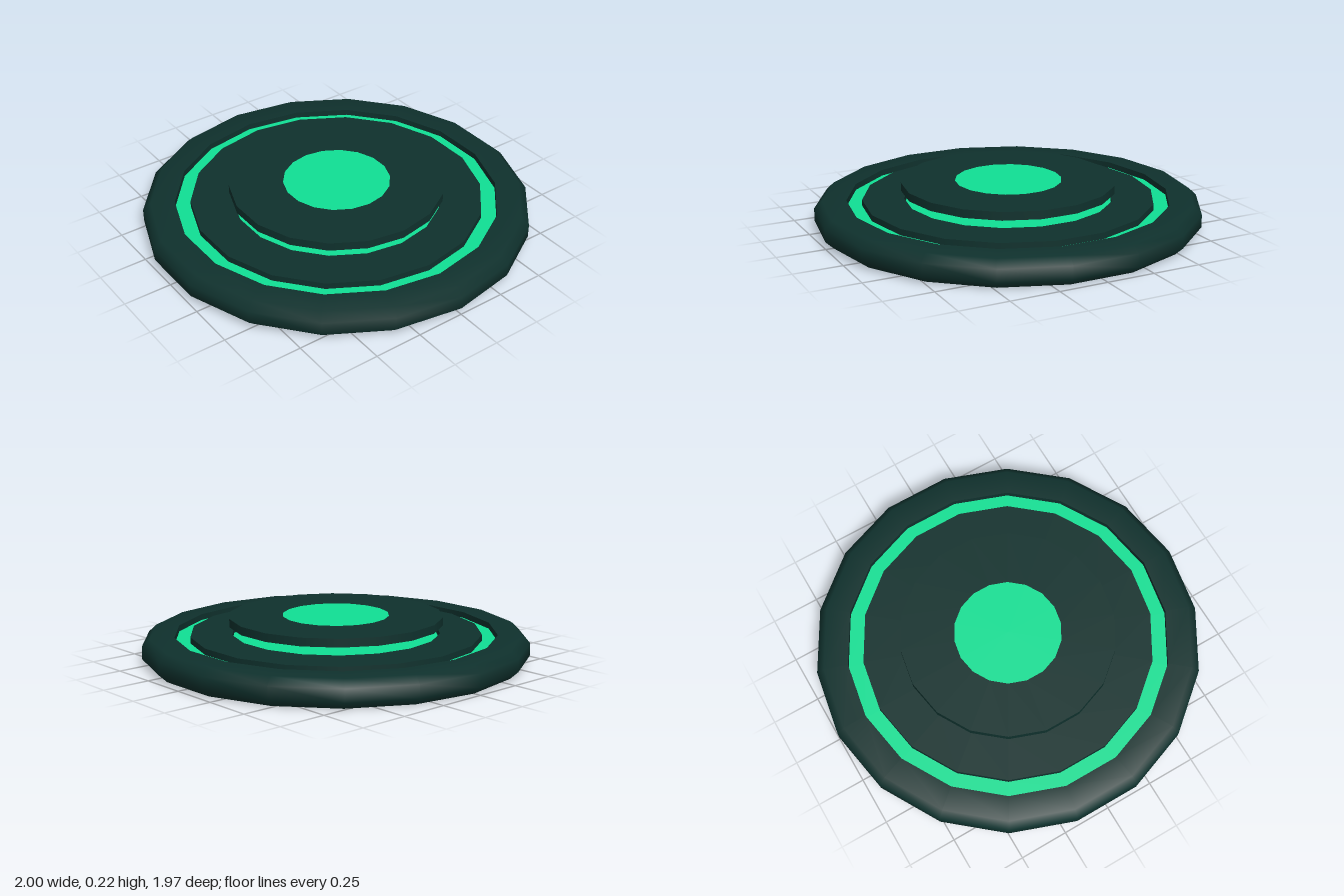
import * as THREE from 'three';

const SIDES = 18;
const dark = new THREE.MeshStandardMaterial({ color: 0x0f312d, side: THREE.DoubleSide });
const glow = new THREE.MeshStandardMaterial({ color: 0x10e094, side: THREE.DoubleSide });

// Revolved band; profile points are [radius, height], listed from outside/bottom to inside/top
function band(name, points, material) {
  const profile = points.map(([r, y]) => new THREE.Vector2(r, y));
  const mesh = new THREE.Mesh(new THREE.LatheGeometry(profile, SIDES, Math.PI / 2), material);
  mesh.name = name;
  return mesh;
}

export function createModel() {
  const model = new THREE.Group();
  model.name = 'platform';

  const top = 0.14, low = 0.108;

  // Base: a thin shell, hollow underneath, with a sunken glowing groove and centre
  const base = new THREE.Group();
  base.name = 'base';
  base.add(
    band('outerRim', [[0.96, 0], [1, 0.037], [1, 0.103], [0.96, top], [0.835, top]], dark),
    band('grooveOuterWall', [[0.835, top], [0.835, low]], dark),
    band('glowRing', [[0.835, low], [0.755, low]], glow),
    band('grooveInnerWall', [[0.755, low], [0.755, top]], dark),
    band('innerPlate', [[0.755, top], [0.54, top]], dark),
    band('centreWall', [[0.54, top], [0.54, low]], dark),
    band('centreGlow', [[0.54, low], [0, low]], glow),
  );

  // Disc hovering above the base, with a glowing centre on top
  const disc = new THREE.Group();
  disc.name = 'floatingDisc';
  disc.add(
    band('discUnderside', [[0, 0.182], [0.555, 0.182]], dark),
    band('discEdge', [[0.555, 0.182], [0.555, 0.225]], dark),
    band('discTop', [[0.555, 0.225], [0.277, 0.225]], dark),
    band('discGlow', [[0.277, 0.225], [0, 0.225]], glow),
  );

  model.add(base, disc);
  return model;
}
